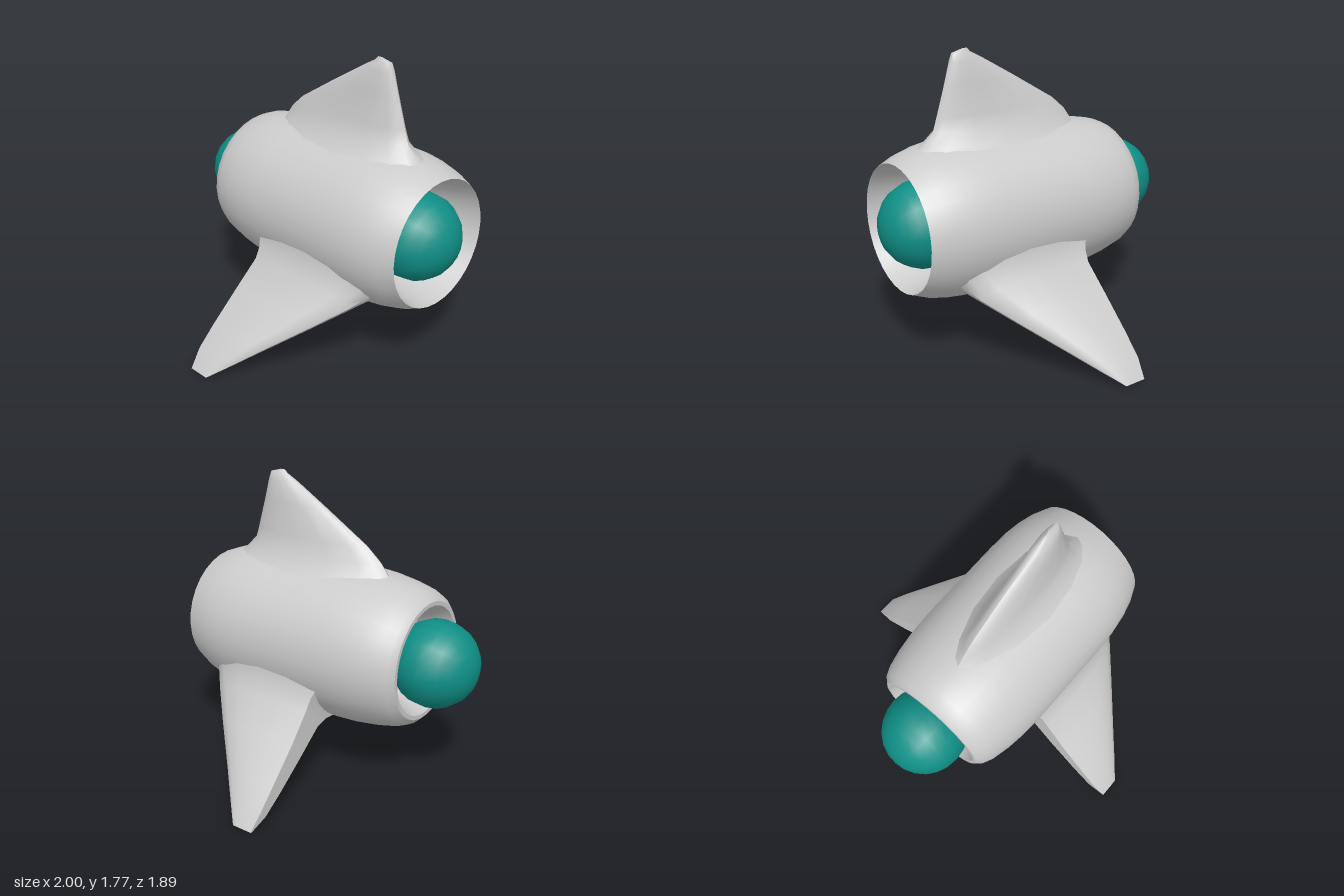
import * as THREE from 'three';
import { toCreasedNormals } from 'three/addons/utils/BufferGeometryUtils.js';

const AXIS_Y = 0.8;

// Fin lofted outwards from the hull axis: rows are [distance, zFront, zBack, halfThickness],
// half is one side of the section as [chord -1..1, thickness 0..1], front to back.
function finGeometry(rows, half) {
  const mirrored = half.filter(p => p[1] > 0).reverse().map(([c, t]) => [c, -t]);
  const ring = [...half, ...mirrored];
  const n = ring.length;
  const pos = [], index = [];
  for (const [s, zf, zb, th] of rows) {
    for (const [c, t] of ring) pos.push(t * th, s, (zf + zb) / 2 + c * (zf - zb) / 2);
  }
  for (let i = 0; i < rows.length - 1; i++) {
    for (let j = 0; j < n; j++) {
      const a = i * n + j, b = i * n + (j + 1) % n;
      index.push(a, b, b + n, a, b + n, a + n);
    }
  }
  // tip cap
  const last = (rows.length - 1) * n;
  const [s, zf, zb] = rows[rows.length - 1];
  pos.push(0, s, (zf + zb) / 2);
  for (let j = 0; j < n; j++) index.push(last + j, last + (j + 1) % n, rows.length * n);
  const g = new THREE.BufferGeometry();
  g.setAttribute('position', new THREE.Float32BufferAttribute(pos, 3));
  g.setIndex(index);
  return toCreasedNormals(g, 0.85);
}

export function createModel() {
  const model = new THREE.Group();
  model.name = 'finnedPod';
  const grey = new THREE.MeshStandardMaterial({ color: 0xcccccc });
  const teal = new THREE.MeshStandardMaterial({ color: 0x0f8f86 });

  const add = (name, geometry, material, z = 0, roll = 0) => {
    const mesh = new THREE.Mesh(geometry, material);
    mesh.name = name;
    mesh.position.set(0, AXIS_Y, z);
    mesh.rotation.z = roll;
    model.add(mesh);
  };

  // Hull: rear recess, outer skin, then the front funnel, as [radius, z]
  const profile = [
    [0, -0.42], [0.24, -0.44], [0.28, -0.54], [0.325, -0.633], [0.35, -0.633],
    [0.385, -0.6], [0.412, -0.54], [0.437, -0.43], [0.452, -0.32], [0.46, -0.18],
    [0.46, 0.4], [0.455, 0.54], [0.44, 0.65], [0.415, 0.75], [0.375, 0.845],
    [0.33, 0.65], [0.27, 0.45], [0, 0.4],
  ].map(([r, z]) => new THREE.Vector2(r, z));
  const hull = new THREE.LatheGeometry(profile, 32).rotateX(Math.PI / 2);
  add('hull', toCreasedNormals(hull, 0.7), grey);

  // Balls set in both mouths
  const ball = new THREE.SphereGeometry(0.257, 16, 12).rotateX(Math.PI / 2);
  add('frontBall', ball, teal, 0.685);
  add('rearBall', ball, teal, -0.687);

  // Upper fin, swept forward, lens section
  const lens = [[1, 0], [0.94, 0.35], [0.8, 0.65], [0.5, 0.92], [0.1, 1],
    [-0.35, 0.92], [-0.75, 0.6], [-0.93, 0.3], [-1, 0]];
  add('topFin', finGeometry([
    [0.36, 0.8, -0.5, 0.26], [0.41, 0.72, -0.42, 0.2], [0.45, 0.67, -0.36, 0.165],
    [0.52, 0.6, -0.31, 0.115], [0.6, 0.575, -0.22, 0.09], [0.78, 0.52, 0.07, 0.06],
    [0.9, 0.485, 0.27, 0.042], [0.945, 0.47, 0.35, 0.022], [0.965, 0.4, 0.37, 0.003],
  ], lens), grey);

  // Lower fins, swept back, with a blunt trailing face
  const blunt = [[1, 0], [0.93, 0.35], [0.75, 0.65], [0.4, 0.92], [0, 1],
    [-0.5, 0.97], [-1, 0.8]];
  const lowerFin = finGeometry([
    [0.36, 0.72, -0.2, 0.26], [0.42, 0.66, -0.16, 0.19], [0.48, 0.62, -0.135, 0.15],
    [0.55, 0.575, -0.13, 0.115], [0.75, 0.42, -0.14, 0.088], [1.0, 0.22, -0.145, 0.062],
    [1.16, 0.095, -0.145, 0.04], [1.28, 0, -0.13, 0.004],
  ], blunt);
  const roll = Math.PI / 2 + Math.atan2(0.8, 1);
  add('leftFin', lowerFin, grey, 0, -roll);
  add('rightFin', lowerFin, grey, 0, roll);

  return model;
}
